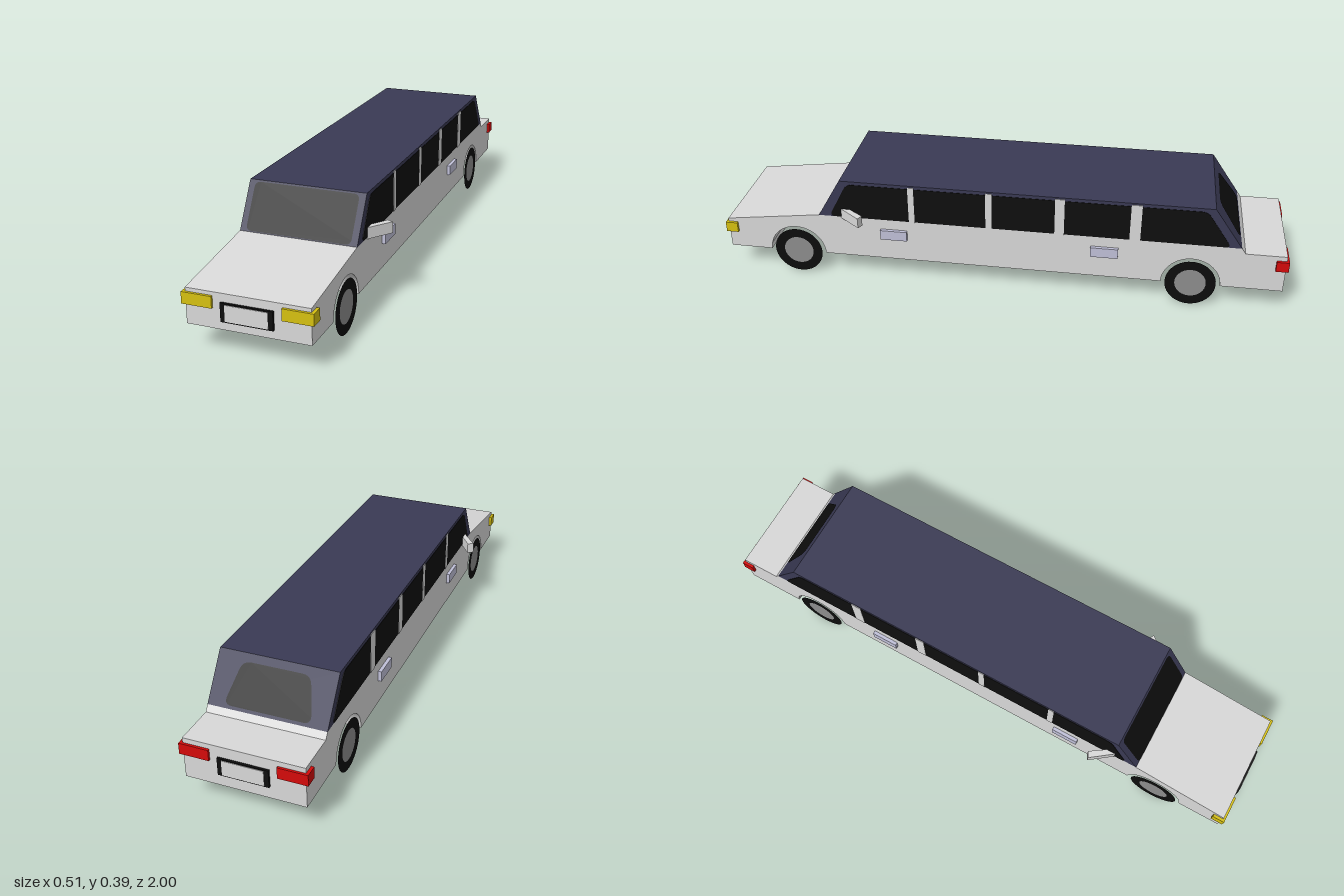
import * as THREE from 'three';

const mat = (name, color, side = THREE.FrontSide) => {
  const m = new THREE.MeshStandardMaterial({ color, side });
  m.name = name;
  return m;
};

// Closed shape with every corner rounded by about r
function roundedShape(pts, r) {
  const s = new THREE.Shape();
  const v = pts.map(p => new THREE.Vector2(...p));
  v.forEach((p, i) => {
    const prev = v[(i + v.length - 1) % v.length], next = v[(i + 1) % v.length];
    const a = p.clone().add(prev.clone().sub(p).setLength(r));
    const b = p.clone().add(next.clone().sub(p).setLength(r));
    if (i === 0) s.moveTo(a.x, a.y); else s.lineTo(a.x, a.y);
    s.quadraticCurveTo(p.x, p.y, b.x, b.y);
  });
  s.closePath();
  return s;
}

// Extrudes a side profile drawn in (z, y) across the width, centred on x = 0
function acrossWidth(shape, width) {
  const g = new THREE.ExtrudeGeometry(shape, { depth: width, bevelEnabled: false, curveSegments: 20 });
  return g.translate(0, 0, -width / 2).rotateY(-Math.PI / 2);
}

export function createModel() {
  const car = new THREE.Group();
  car.name = 'stretchCar';
  const paint = mat('bodyPaint', 0xd8d8d8);
  const navy = mat('roofNavy', 0x3a3a54);
  const glass = mat('darkGlass', 0x0e0e0e);
  const tyre = mat('tyreBlack', 0x0c0c0c, THREE.DoubleSide);
  const hub = mat('hubGrey', 0x8c8c8c, THREE.DoubleSide);
  const yellow = mat('headlightYellow', 0xd6c010);
  const red = mat('taillightRed', 0xd40a0a);
  const chrome = mat('handleLavender', 0xc0c0d8);

  const add = (name, geometry, material, x = 0, y = 0, z = 0) => {
    const m = new THREE.Mesh(geometry, material);
    m.name = name;
    m.position.set(x, y, z);
    car.add(m);
    return m;
  };
  // Box given by its minimum and maximum corners
  const box = (name, material, a, b) => add(name,
    new THREE.BoxGeometry(...a.map((v, i) => Math.abs(b[i] - v))), material, ...a.map((v, i) => (v + b[i]) / 2));

  const W = 0.198, wheelZ = [-0.676, 0.735], wheelR = 0.088, archR = 0.102;

  // Lower body with wheel arches running right across
  const lower = new THREE.Shape();
  lower.moveTo(0.99, 0.085);
  [[0.99, 0.2], [0.645, 0.245], [-0.836, 0.245], [-0.85, 0.225], [-0.99, 0.225], [-0.99, 0.085]]
    .forEach(p => lower.lineTo(...p));
  for (const z of wheelZ) {
    lower.lineTo(z - archR, 0.085);
    lower.absarc(z, 0.085, archR, Math.PI, 0, true);
  }
  lower.closePath();
  add('lowerBody', acrossWidth(lower, 2 * W), paint);

  // Cabin with sloped ends
  const cabin = new THREE.Shape([[0.645, 0.245], [0.56, 0.39], [-0.735, 0.39], [-0.836, 0.245]]
    .map(p => new THREE.Vector2(...p)));
  add('cabin', acrossWidth(cabin, 2 * W), navy);

  // Side glass, divided by body-coloured pillars
  const sideGlass = roundedShape([[0.605, 0.246], [0.535, 0.378], [-0.71, 0.378], [-0.8, 0.246]], 0.022);
  const pillars = [[0.295, 0.316], [0.021, 0.043], [-0.231, -0.198], [-0.493, -0.456]];

  // Windscreen and rear window lie just above the sloped cabin ends
  const screen = add('windscreen', new THREE.ShapeGeometry(
    roundedShape([[-0.177, 0.003], [0.177, 0.003], [0.177, 0.162], [-0.177, 0.162]], 0.02)), glass, 0, 0.246, 0.647);
  screen.rotation.x = -Math.atan2(0.085, 0.145);
  const rear = add('rearWindow', new THREE.ShapeGeometry(
    roundedShape([[-0.145, 0.035], [0.145, 0.035], [0.112, 0.175], [-0.112, 0.175]], 0.028)), glass, 0, 0.226, -0.852);
  rear.rotation.set(Math.atan2(0.115, 0.165), Math.PI, 0);

  // Door mirror outline seen from above, in (x, -z)
  const mirrorPts = [[0.195, -0.567], [0.195, -0.535], [0.236, -0.475], [0.257, -0.485]];

  for (const s of [1, -1]) {
    const side = s > 0 ? 'left' : 'right';
    add(side + 'SideGlass', acrossWidth(sideGlass, 0.003), glass, s * W, 0, 0);
    for (const [z0, z1] of pillars)
      box(side + 'Pillar', paint, [s * (W - 0.001), 0.244, z0], [s * (W + 0.0025), 0.384, z1]);

    // Flat wheels set in the arches
    for (const z of wheelZ) {
      const face = s * Math.PI / 2;
      add(side + 'Tyre', new THREE.RingGeometry(0.054, wheelR, 40), tyre, s * W, wheelR, z).rotation.y = face;
      add(side + 'Hub', new THREE.CircleGeometry(0.054, 40), hub, s * W, wheelR, z).rotation.y = face;
    }

    for (const z of [0.373, -0.373])
      box(side + 'DoorHandle', chrome, [s * 0.19, 0.17, z - 0.048], [s * 0.21, 0.207, z + 0.048]);

    const mirror = new THREE.Shape(mirrorPts.map(([x, y]) => new THREE.Vector2(s * x, y)));
    add(side + 'Mirror', new THREE.ExtrudeGeometry(mirror, { depth: 0.038, bevelEnabled: false })
      .rotateX(-Math.PI / 2), paint, 0, 0.24, 0);

    // Lamps wrap around the corners
    box(side + 'Headlight', yellow, [s * 0.11, 0.15, 0.955], [s * 0.208, 0.188, 0.998]);
    box(side + 'Taillight', red, [s * 0.11, 0.17, -0.998], [s * 0.208, 0.208, -0.955]);
  }

  // Blank number plates in dark frames
  for (const [name, s, y] of [['front', 1, 0.143], ['rear', -1, 0.158]]) {
    box(name + 'PlateFrame', glass, [-0.083, y - 0.03, s * 0.985], [0.083, y + 0.03, s * 0.998]);
    box(name + 'Plate', paint, [-0.068, y - 0.026, s * 0.99], [0.068, y + 0.026, s * 1]);
  }
  return car;
}
